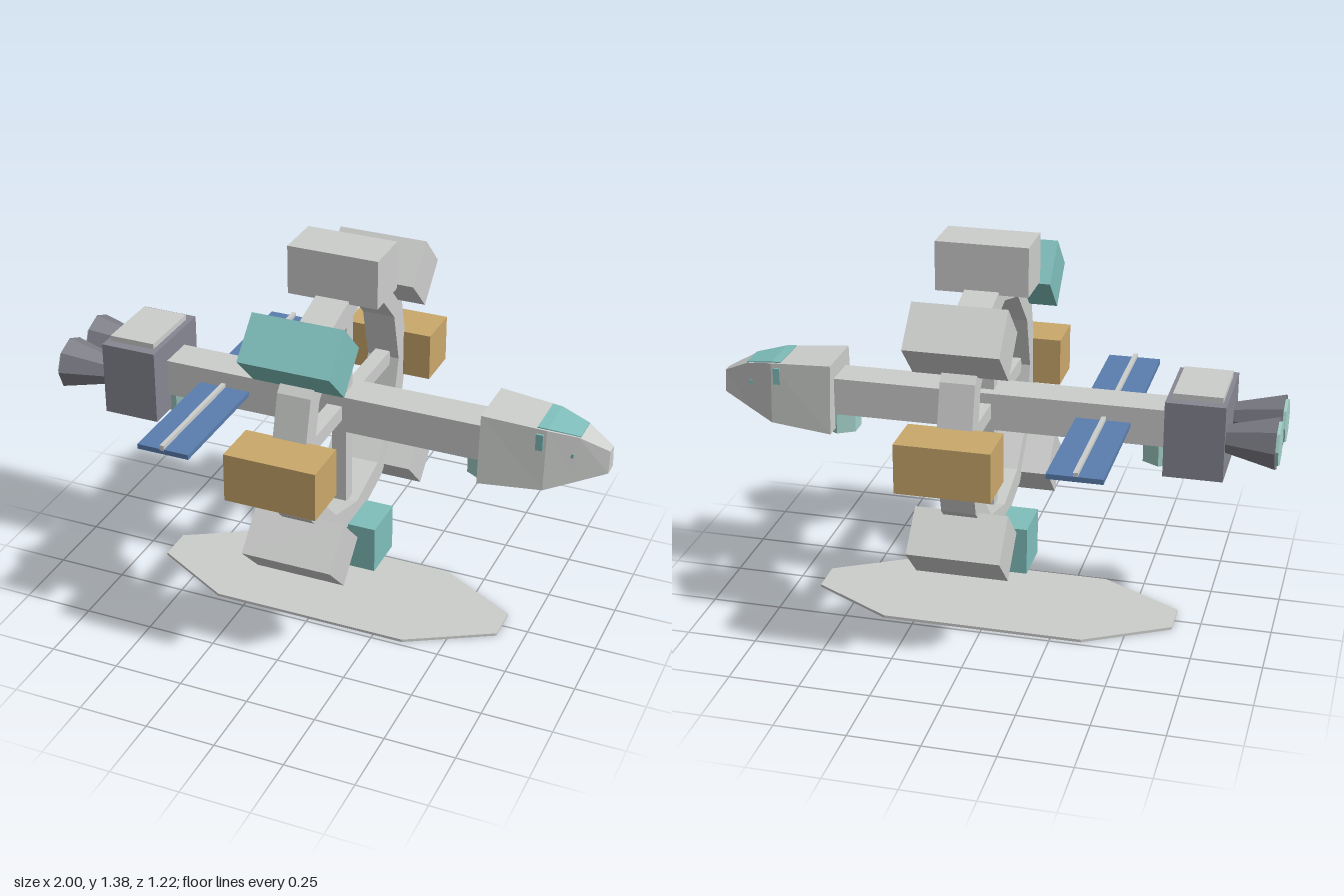
import * as THREE from 'three';

const mat = (name, color) => {
  const m = new THREE.MeshStandardMaterial({ color });
  m.name = name;
  return m;
};

export function createModel() {
  const hull = mat('hullGrey', 0xcccecc);
  const teal = mat('teal', 0x7fbfbc);
  const amber = mat('amber', 0xcaa86b);
  const slate = mat('slateGrey', 0x868792);
  const nozzleGrey = mat('nozzleGrey', 0x7c7d86);
  const blue = mat('panelBlue', 0x5b7dae);
  const mint = mat('paleMint', 0xa3d0c8);

  const model = new THREE.Group();
  model.name = 'spaceStation';
  const AXIS_Y = 0.775, RING_X = 0.032;

  const add = (name, geo, material, x = 0, y = 0, z = 0, parent = model) => {
    const flat = geo.index ? geo.toNonIndexed() : geo;
    flat.computeVertexNormals();
    const mesh = new THREE.Mesh(flat, material);
    mesh.name = name;
    mesh.position.set(x, y, z);
    parent.add(mesh);
    return mesh;
  };
  // Box given by its min and max on each axis
  const span = (name, material, [x0, x1], [y0, y1], [z0, z1]) =>
    add(name, new THREE.BoxGeometry(x1 - x0, y1 - y0, z1 - z0), material,
      (x0 + x1) / 2, (y0 + y1) / 2, (z0 + z1) / 2);

  // Four-sided loft along x; station = [x, bottom, top, bottomHalf, topHalf]
  const loft = (stations) => {
    const rings = stations.map(([x, b, t, wb, wt]) =>
      [[x, b, wb], [x, b, -wb], [x, t, -wt], [x, t, wt]]);
    const pos = [];
    const quad = (a, b, c, d) => [a, b, c, a, c, d].forEach((p) => pos.push(...p));
    for (let s = 0; s < rings.length - 1; s++) {
      const p = rings[s], q = rings[s + 1];
      for (let i = 0; i < 4; i++) {
        const j = (i + 1) % 4;
        quad(p[i], p[j], q[j], q[i]);
      }
    }
    quad(...rings[0].slice().reverse());
    quad(...rings[rings.length - 1]);
    const geo = new THREE.BufferGeometry();
    geo.setAttribute('position', new THREE.Float32BufferAttribute(pos, 3));
    return geo;
  };

  // Spine and nose
  span('spine', hull, [-0.63, 0.6], [0.705, 0.84], [-0.068, 0.068]);
  add('noseCabin', loft([
    [0.575, 0.65, 0.90, 0.125, 0.105],
    [0.80, 0.665, 0.885, 0.105, 0.09],
    [0.90, 0.70, 0.865, 0.067, 0.057],
    [1.00, 0.735, 0.815, 0.028, 0.02],
  ]), hull);
  add('windscreen', loft([
    [0.765, 0.882, 0.891, 0.085, 0.085],
    [0.80, 0.880, 0.889, 0.082, 0.082],
    [0.905, 0.859, 0.867, 0.05, 0.05],
  ]), teal);
  // Side windows just break through the cabin walls
  span('sideWindows', teal, [0.765, 0.79], [0.81, 0.87], [-0.1, 0.1]);
  span('smallSideWindows', teal, [0.88, 0.89], [0.79, 0.805], [-0.071, 0.071]);

  // Engine block with top plate
  span('engineBlock', slate, [-0.82, -0.615], [0.64, 0.91], [-0.163, 0.163]);
  span('engineTopPlate', hull, [-0.805, -0.635], [0.91, 0.93], [-0.126, 0.126]);

  for (const s of [-1, 1]) {
    // Flared nozzle and glowing exhaust disc
    add('nozzle', new THREE.CylinderGeometry(0.095, 0.052, 0.17, 8).rotateZ(Math.PI / 2),
      nozzleGrey, -0.905, AXIS_Y, s * 0.1);
    add('exhaust', new THREE.CylinderGeometry(0.08, 0.08, 0.02, 8).rotateZ(Math.PI / 2),
      mint, -0.99, AXIS_Y, s * 0.1);
    // Solar wing and its centre rib
    add('solarPanel', new THREE.BoxGeometry(0.19, 0.018, 0.475), blue, -0.39, 0.774, s * 0.302);
    add('panelRib', new THREE.BoxGeometry(0.016, 0.02, 0.475), hull, -0.393, 0.787, s * 0.302);
  }

  // Hexagonal pods under the spine
  for (const x of [-0.585, 0.57])
    add('bellyPod', new THREE.CylinderGeometry(0.068, 0.068, 0.08, 6), mint, x, 0.67, 0);

  // Twelve-sided habitat ring
  const poly = (r) => Array.from({ length: 12 }, (_, i) =>
    new THREE.Vector2(r * Math.cos(i * Math.PI / 6), r * Math.sin(i * Math.PI / 6)));
  const ringShape = new THREE.Shape(poly(0.468));
  ringShape.holes.push(new THREE.Path(poly(0.386)));
  const ringGeo = new THREE.ExtrudeGeometry(ringShape, { depth: 0.12, bevelEnabled: false });
  ringGeo.translate(0, 0, -0.06).rotateY(Math.PI / 2);
  add('habitatRing', ringGeo, hull, RING_X, AXIS_Y, 0);

  // Spokes through the spine
  add('verticalSpokes', new THREE.BoxGeometry(0.055, 0.8, 0.055), hull, RING_X, AXIS_Y, 0);
  add('horizontalSpokes', new THREE.BoxGeometry(0.055, 0.055, 0.79), hull, RING_X, AXIS_Y, 0);

  // Eight ring modules, starting at the top and turning towards +z
  [hull, teal, amber, hull, teal, hull, amber, hull].forEach((material, i) => {
    const a = i * Math.PI / 4;
    const module = add('ringModule', new THREE.BoxGeometry(0.325, 0.174, 0.174), material,
      RING_X, AXIS_Y + 0.521 * Math.cos(a), 0.521 * Math.sin(a));
    module.rotation.x = a;
  });

  // Long octagonal base plate
  const base = new THREE.Shape([
    [0.655, -0.065], [0.655, 0.065], [0.36, 0.232], [-0.36, 0.232],
    [-0.655, 0.065], [-0.655, -0.065], [-0.36, -0.232], [0.36, -0.232],
  ].map(([x, y]) => new THREE.Vector2(x, y)));
  add('basePlate', new THREE.ExtrudeGeometry(base, { depth: 0.01, bevelEnabled: false })
    .rotateX(-Math.PI / 2), hull);

  return model;
}
